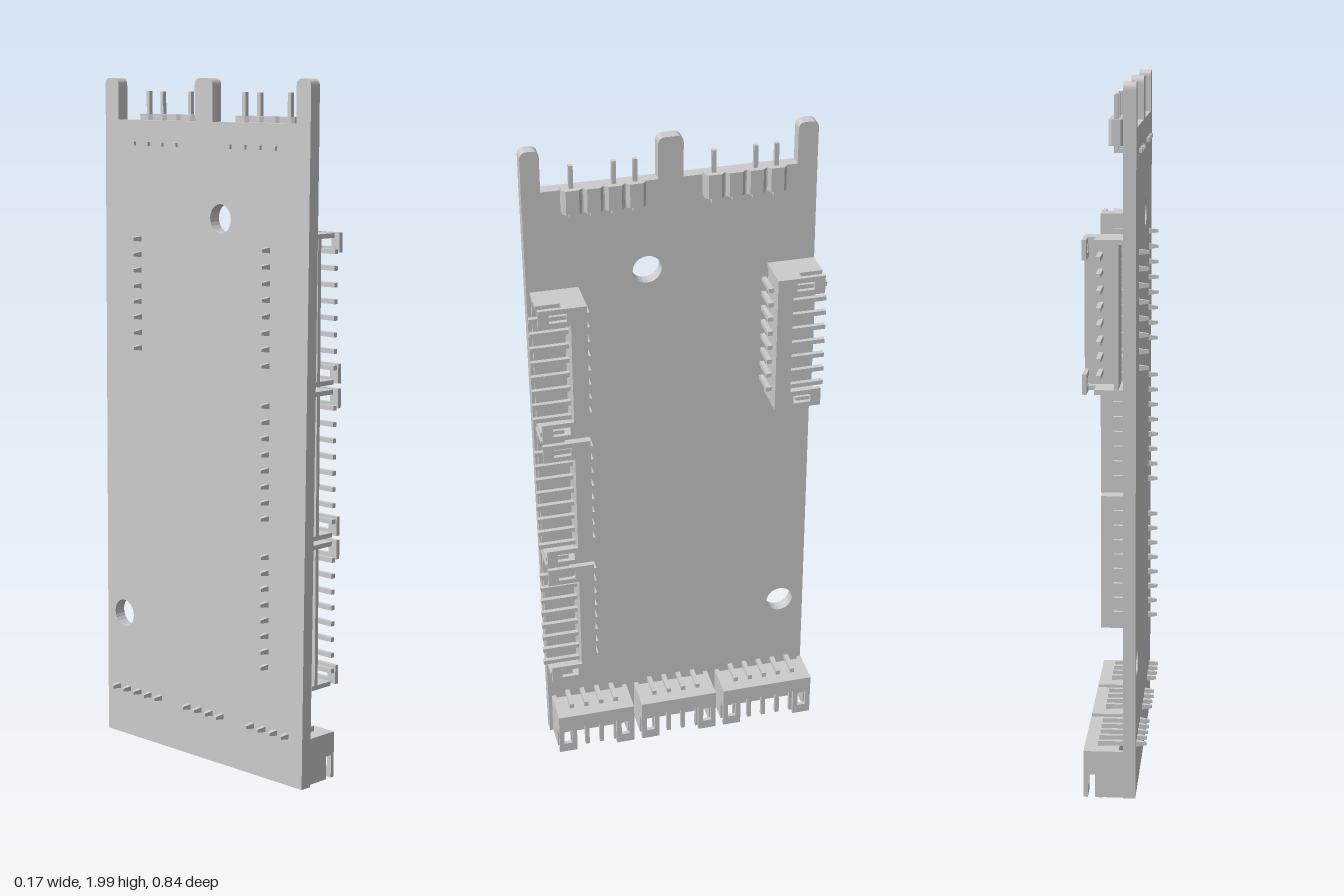
import * as THREE from 'three';

const mat = new THREE.MeshStandardMaterial({ color: 0xcccccc, flatShading: true });
const V = (x, y, z) => new THREE.Vector3(x, y, z);
const PITCH = 0.0457;
const FACE = -0.025;   // x of the board's component side
const THICK = 0.035;

function mesh(parent, name, geometry) {
  const m = new THREE.Mesh(geometry, mat);
  m.name = name;
  parent.add(m);
  return m;
}

// Box given by its minimum and maximum on each axis
function box(parent, name, x0, x1, y0, y1, z0, z1) {
  const m = mesh(parent, name, new THREE.BoxGeometry(x1 - x0, y1 - y0, z1 - z0));
  m.position.set((x0 + x1) / 2, (y0 + y1) / 2, (z0 + z1) / 2);
  return m;
}

function rectHole(x0, x1, y0, y1) {
  return new THREE.Path([[x0, y0], [x0, y1], [x1, y1], [x1, y0]].map(p => new THREE.Vector2(...p)));
}

// Orient a group so its local axes point along the given world axes
function orient(group, ax, ay, az, position) {
  group.quaternion.setFromRotationMatrix(new THREE.Matrix4().makeBasis(ax, ay, az));
  group.position.copy(position);
  return group;
}

// Circuit board, drawn in (y, z) and extruded along x
function board() {
  const g = new THREE.Group();
  g.name = 'circuitBoard';
  const s = new THREE.Shape();
  s.moveTo(0.022, -0.412);
  s.lineTo(1.88, -0.402);
  // three rounded tabs along the top edge
  const tabs = [[-0.402, -0.346], [-0.028, 0.042], [0.362, 0.414]];
  for (const [a, b] of tabs) {
    const r = 0.02;
    s.lineTo(1.88, a);
    s.lineTo(2 - r, a);
    s.quadraticCurveTo(2, a, 2, a + r);
    s.lineTo(2, b - r);
    s.quadraticCurveTo(2, b, 2 - r, b);
    s.lineTo(1.88, b);
  }
  s.lineTo(0.022, 0.398);
  s.closePath();
  // mounting holes
  for (const [y, z] of [[1.612, 0.074], [0.4, -0.336]]) {
    s.holes.push(new THREE.Path().absarc(y, z, 0.041, 0, Math.PI * 2, true));
  }
  mesh(g, 'boardPlate', new THREE.ExtrudeGeometry(s, { depth: THICK, bevelEnabled: false, curveSegments: 12 }));
  return orient(g, V(0, 1, 0), V(0, 0, 1), V(1, 0, 0), V(FACE - THICK, 0, 0));
}

// Side-entry socket: local x along the row, y towards the mouth, z away from the board
function socket(name, pins) {
  const g = new THREE.Group();
  g.name = name;
  const span = (pins - 1) * PITCH;
  const L = span / 2 + 0.049, D = 0.135, H = 0.11, roof = 0.098;
  const cut = span / 2 - 0.006;

  // roof with a wide front cut-out and two latch windows
  const s = new THREE.Shape([
    [-L, 0], [L, 0], [L, D], [cut, D], [cut, 0.045], [-cut, 0.045], [-cut, D], [-L, D],
  ].map(p => new THREE.Vector2(...p)));
  s.holes.push(rectHole(L - 0.04, L - 0.015, 0.055, 0.105));
  s.holes.push(rectHole(-L + 0.015, -L + 0.04, 0.055, 0.105));
  mesh(g, 'socketRoof', new THREE.ExtrudeGeometry(s, { depth: H - roof, bevelEnabled: false })).position.z = roof;

  box(g, 'socketFloor', -L, L, 0, D, 0.012, 0.024);
  box(g, 'socketBackWall', -L, L, 0, 0.045, 0.012, roof);
  // end walls, slotted below the roof and standing on the board
  for (const side of [-1, 1]) {
    const c = side * (L - 0.0065);
    box(g, 'socketEndWall', c - 0.0065, c + 0.0065, 0, D, 0, 0.078);
    box(g, 'socketEndWallBack', c - 0.0065, c + 0.0065, 0, 0.068, 0.078, roof);
  }

  // bent contact pins with tapered solder tails
  for (let i = 0; i < pins; i++) {
    const x = -span / 2 + i * PITCH, w = 0.0065;
    box(g, 'contactPin', x - w, x + w, -0.015, D + 0.018, 0.059, 0.072);
    box(g, 'contactLeg', x - w, x + w, -0.015, -0.002, -THICK, 0.072);
    const tail = mesh(g, 'solderTail', new THREE.CylinderGeometry(0.011, 0.006, 0.028, 4).rotateY(Math.PI / 4).rotateX(Math.PI / 2));
    tail.position.set(x, -0.0085, -THICK - 0.014);
  }
  return g;
}

// Four-way pin header with the second pin trimmed, first pin at z0
function pinHeader(name, z0) {
  const g = new THREE.Group();
  g.name = name;
  const step = 0.0578, h = step / 2 - 0.002, c = 0.009, r = 0.021;
  const y0 = 1.827, y1 = 1.897, w = 0.006;
  // chamfered outline with a waist between neighbouring segments
  const top = [], bottom = [];
  for (let i = 0; i < 4; i++) {
    const m = -i * step;
    top.push([m + h, r - c], [m + h - c, r], [m - h + c, r], [m - h, r - c]);
    bottom.unshift([m - h, c - r], [m - h + c, -r], [m + h - c, -r], [m + h, c - r]);
  }
  const shape = new THREE.Shape([...top, ...bottom].map(p => new THREE.Vector2(...p)));
  const body = mesh(g, 'headerBody', new THREE.ExtrudeGeometry(shape, { depth: y1 - y0, bevelEnabled: false }));
  orient(body, V(0, 0, 1), V(1, 0, 0), V(0, 1, 0), V(0, y0, z0));
  for (let i = 0; i < 4; i++) {
    const z = z0 - i * step;
    box(g, 'headerPin', -w, w, 1.807, i === 1 ? y1 - 0.005 : 1.962, z - w, z + w);
    box(g, 'headerTail', -0.069, w, 1.807, 1.819, z - w, z + w);
  }
  return g;
}

export function createModel() {
  const model = new THREE.Group();
  model.name = 'connectorBoard';
  model.add(board());

  // eight-way sockets along the long edges
  for (const y of [1.375, 0.943, 0.513]) {
    model.add(orient(socket('edgeSocket', 8), V(0, 1, 0), V(0, 0, 1), V(1, 0, 0), V(FACE, y, 0.267)));
  }
  model.add(orient(socket('oppositeEdgeSocket', 8), V(0, -1, 0), V(0, 0, -1), V(1, 0, 0), V(FACE, 1.378, -0.268)));

  // sockets along the bottom edge
  for (const [z, n] of [[0.271, 4], [0.011, 4], [-0.272, 5]]) {
    model.add(orient(socket('bottomSocket', n), V(0, 0, 1), V(0, -1, 0), V(1, 0, 0), V(FACE, 0.159, z)));
  }

  // pin headers between the top tabs
  model.add(pinHeader('pinHeader', 0.285));
  model.add(pinHeader('pinHeader', -0.104));
  return model;
}
